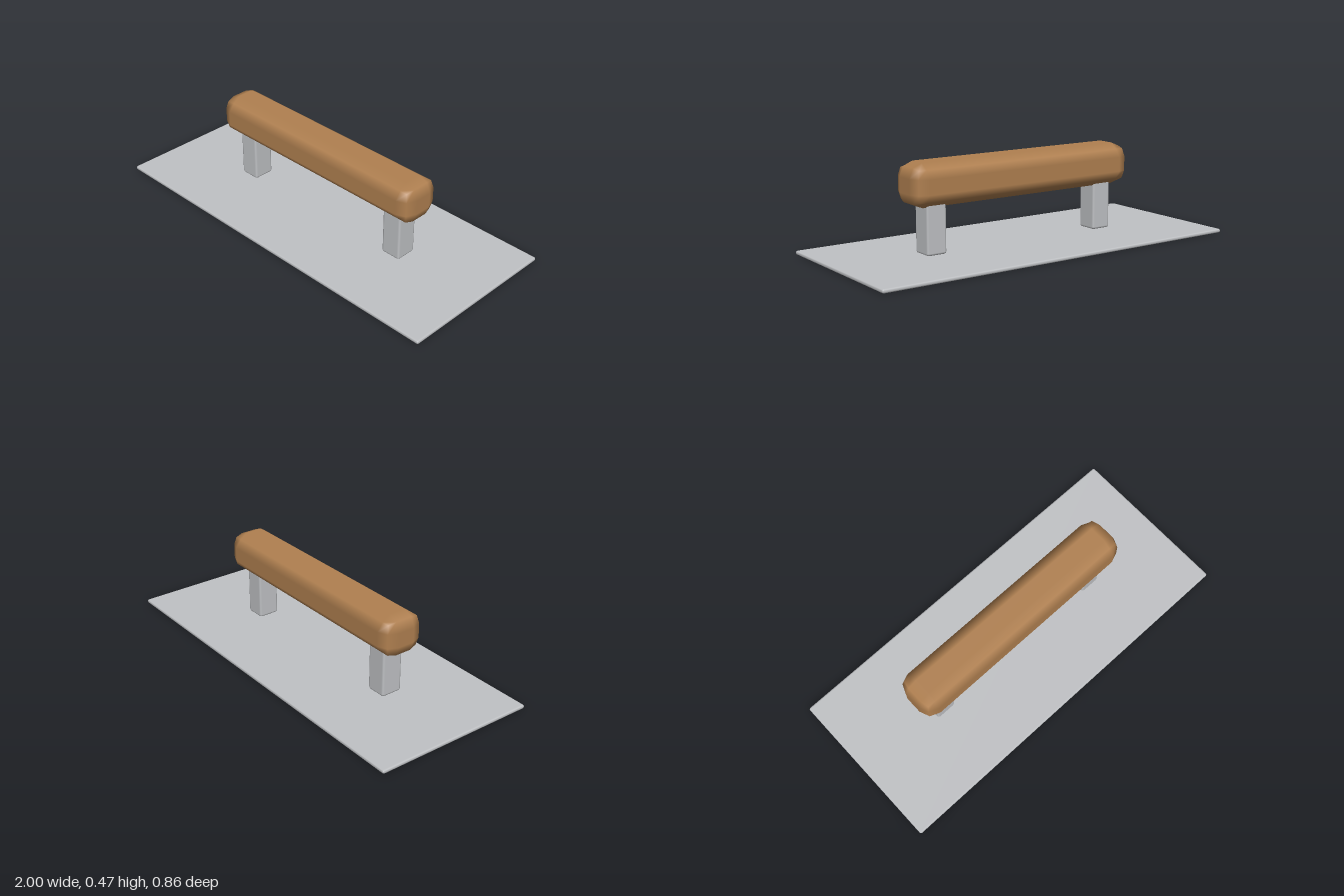
import * as THREE from 'three';
import { RoundedBoxGeometry } from 'three/addons/geometries/RoundedBoxGeometry.js';

const steel = new THREE.MeshStandardMaterial({ color: 0xc0c2c5 });
steel.name = 'steel';
const wood = new THREE.MeshStandardMaterial({ color: 0xb08050 });
wood.name = 'wood';

function roundedBox(name, size, radius, material, position) {
  const mesh = new THREE.Mesh(new RoundedBoxGeometry(...size, 1, radius), material);
  mesh.name = name;
  mesh.position.set(...position);
  return mesh;
}

// Pull the ridges of the long edges in, so they run straight from corner to corner
function flattenLongEdges(geometry, size, radius) {
  const p = geometry.attributes.position, n = geometry.attributes.normal;
  const inset = radius * (1 - 1 / Math.sqrt(3));
  for (let i = 0; i < p.count; i++) {
    const nx = Math.abs(n.getX(i)), ny = n.getY(i), nz = n.getZ(i);
    if (nx < 0.01 && Math.abs(ny) > 0.5 && Math.abs(nz) > 0.5) {
      p.setY(i, Math.sign(ny) * (size[1] / 2 - inset));
      p.setZ(i, Math.sign(nz) * (size[2] / 2 - inset));
    }
  }
}

export function createModel() {
  const model = new THREE.Group();
  model.name = 'plasteringTrowel';

  // Flat steel blade
  model.add(roundedBox('blade', [2, 0.02, 0.855], 0.009, steel, [0, 0.01, 0]));

  // Two posts reaching up into the handle
  for (const [name, side] of [['leftPost', 1], ['rightPost', -1]]) {
    model.add(roundedBox(name, [0.108, 0.27, 0.112], 0.012, steel, [side * 0.5, 0.155, 0]));
  }

  // Wooden grip with broad rounded edges
  const size = [1.28, 0.213, 0.228], radius = 0.07;
  const handle = roundedBox('handle', size, radius, wood, [0, 0.359, 0]);
  flattenLongEdges(handle.geometry, size, radius);
  model.add(handle);

  return model;
}
